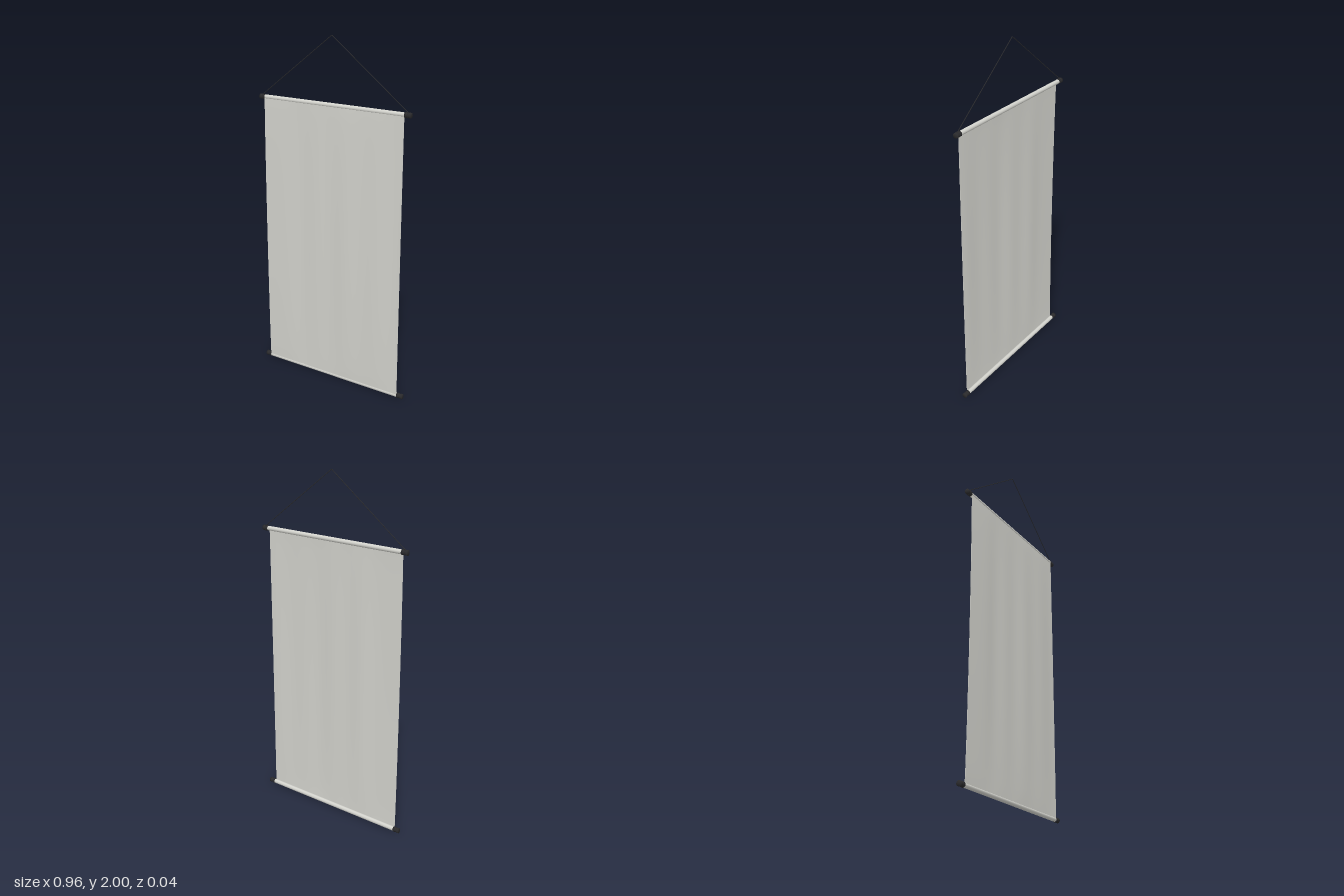
import * as THREE from 'three';

const ROD_Z = -0.004, TOP_Y = 1.63, BOTTOM_Y = 0.015;

export function createModel() {
  const group = new THREE.Group();
  const fabric = new THREE.MeshStandardMaterial({ color: 0xd2d2cc });
  fabric.name = 'pale grey fabric';
  const dark = new THREE.MeshStandardMaterial({ color: 0x2b2b2d });
  dark.name = 'near black';

  const add = (name, geometry, material, x = 0, y = 0, z = 0) => {
    const mesh = new THREE.Mesh(geometry, material);
    mesh.name = name;
    mesh.position.set(x, y, z);
    group.add(mesh);
    return mesh;
  };

  // Hanging cloth: a thin sheet with soft vertical folds, flat at both rods
  const folds = new THREE.SplineCurve([
    [-0.45, 0.012], [-0.3, 0.012], [-0.2, 0.005], [-0.1, 0.01], [0, 0.008],
    [0.1, 0.015], [0.2, 0.011], [0.3, 0.012], [0.4, 0.006], [0.45, 0.007],
  ].map(([x, z]) => new THREE.Vector2(x, z)));
  const foldPoints = folds.getPoints(180);
  const foldAt = (x) => {
    let best = foldPoints[0];
    for (const p of foldPoints) if (Math.abs(p.x - x) < Math.abs(best.x - x)) best = p;
    return best.y;
  };
  const height = TOP_Y - BOTTOM_Y;
  const cloth = new THREE.BoxGeometry(0.89, height, 0.002, 36, 40, 1);
  const pos = cloth.attributes.position;
  for (let i = 0; i < pos.count; i++) {
    const t = pos.getY(i) / height + 0.5;
    const swell = Math.pow(Math.max(0, Math.sin(Math.PI * t)), 0.6);
    const z = THREE.MathUtils.lerp(0.005, foldAt(pos.getX(i)), swell);
    pos.setZ(i, pos.getZ(i) + z);
  }
  cloth.computeVertexNormals();
  add('cloth', cloth, fabric, 0, (TOP_Y + BOTTOM_Y) / 2, 0);

  // Grooved end cap profile, turned about the rod axis
  const capProfile = [
    [0, 0], [0.0145, 0], [0.0145, 0.011], [0.0125, 0.012], [0.0125, 0.023],
    [0.0145, 0.024], [0.0145, 0.035], [0, 0.035],
  ].map(([r, l]) => new THREE.Vector2(r, l));
  const capGeometry = new THREE.LatheGeometry(capProfile, 20);

  // Rods in their fabric sleeves, with dark end caps
  for (const [label, y] of [['top', TOP_Y], ['bottom', BOTTOM_Y]]) {
    const sleeve = add(label + 'Sleeve', new THREE.CylinderGeometry(0.0125, 0.0125, 0.89, 24), fabric, 0, y, ROD_Z);
    sleeve.rotation.z = Math.PI / 2;
    for (const side of [-1, 1]) {
      const cap = add(label + (side > 0 ? 'LeftCap' : 'RightCap'), capGeometry, dark, side * 0.445, y, ROD_Z);
      cap.rotation.z = -side * Math.PI / 2;
    }
  }

  // Hanging cord: two straight runs to the peak, looped round the top caps
  const peak = new THREE.Vector3(0, 1.998, ROD_Z);
  for (const side of [-1, 1]) {
    const label = side > 0 ? 'left' : 'right';
    const end = new THREE.Vector3(side * 0.463, TOP_Y + 0.013, ROD_Z);
    add(label + 'Cord', new THREE.TubeGeometry(new THREE.LineCurve3(end, peak), 1, 0.002, 8), dark);
    const loop = add(label + 'CordLoop', new THREE.TorusGeometry(0.0135, 0.002, 8, 20), dark, side * 0.463, TOP_Y, ROD_Z);
    loop.rotation.y = Math.PI / 2;
  }
  return group;
}
